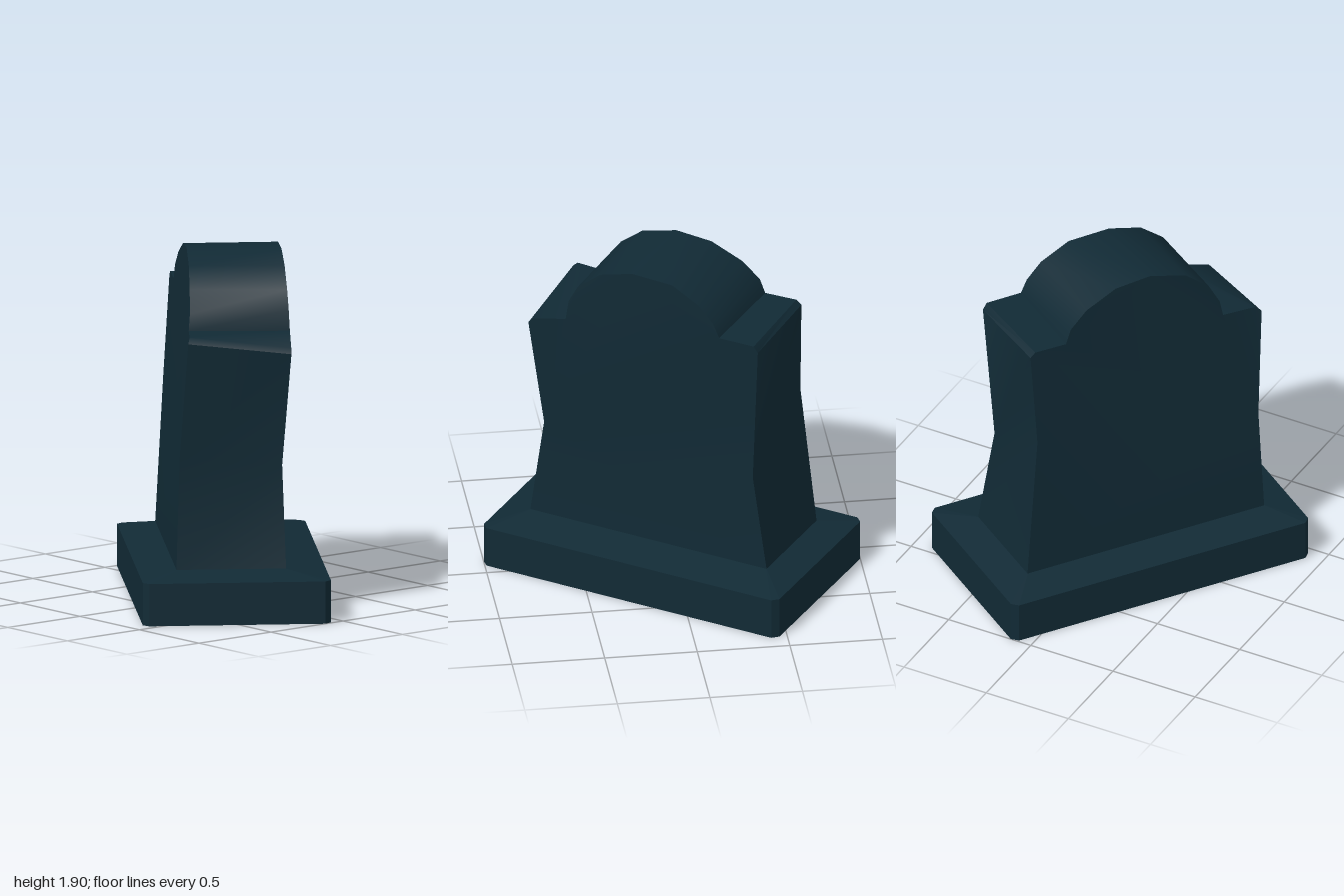
import * as THREE from 'three';
import { toCreasedNormals } from 'three/addons/utils/BufferGeometryUtils.js';

// outline of the slab, left foot over the arch to right foot: [x, y, z]
const FRONT = [
  [-0.709, 0.27, 0.312], [-0.631, 1.08, 0.275], [-0.655, 1.62, 0.24], [-0.626, 1.645, 0.238],
  [-0.44, 1.64, 0.235], [-0.41, 1.72, 0.23], [-0.31, 1.81, 0.22], [-0.13, 1.89, 0.21],
  [0.08, 1.905, 0.207], [0.288, 1.845, 0.212], [0.42, 1.74, 0.218], [0.485, 1.62, 0.222],
  [0.502, 1.53, 0.23], [0.69, 1.53, 0.24], [0.722, 1.5, 0.25], [0.681, 0.87, 0.293], [0.706, 0.27, 0.312],
];
const BACK = [
  [-0.71, 0.27, -0.276], [-0.62, 0.8, -0.261], [-0.67, 1.6, -0.3], [-0.646, 1.635, -0.303],
  [-0.44, 1.635, -0.305], [-0.405, 1.71, -0.305], [-0.32, 1.8, -0.305], [-0.157, 1.885, -0.303],
  [0.085, 1.892, -0.302], [0.275, 1.838, -0.303], [0.41, 1.73, -0.306], [0.463, 1.63, -0.31],
  [0.478, 1.52, -0.315], [0.683, 1.465, -0.306], [0.707, 1.435, -0.305], [0.635, 0.82, -0.261], [0.71, 0.27, -0.276],
];

function fromTriangles(points, index) {
  const g = new THREE.BufferGeometry();
  g.setAttribute('position', new THREE.Float32BufferAttribute(points.flat(), 3));
  g.setIndex(index);
  return g;
}

// slab: two faces joined by a rim
function slabGeometry() {
  const n = FRONT.length;
  const index = [];
  const face = (a, b, c) => index.push(a, b, c, a + n, c + n, b + n);
  face(0, n - 1, n - 2);
  face(0, n - 2, 1);
  const ids = [];
  for (let i = n - 2; i >= 1; i--) ids.push(i);
  const contour = ids.map((i) => new THREE.Vector2(FRONT[i][0], FRONT[i][1]));
  for (const t of THREE.ShapeUtils.triangulateShape(contour, [])) {
    face(ids[t[0]], ids[t[1]], ids[t[2]]);
  }
  for (let i = 0; i < n; i++) {
    const j = (i + 1) % n;
    index.push(i, j, i + n, j, j + n, i + n);
  }
  return toCreasedNormals(fromTriangles([...FRONT, ...BACK], index), 0.72);
}

// rectangle with cut corners, counter-clockwise seen from above
function ring(hx, hz, cut, y, dz = 0) {
  return [
    [hx, hz - cut], [hx, -hz + cut], [hx - cut, -hz], [-hx + cut, -hz],
    [-hx, -hz + cut], [-hx, hz - cut], [-hx + cut, hz], [hx - cut, hz],
  ].map(([x, z]) => [x, y, z + dz]);
}

// plinth: upright sides, then a shallow slope up to the slab
function plinthGeometry() {
  const rings = [ring(0.889, 0.505, 0.033, 0), ring(0.889, 0.505, 0.033, 0.23), ring(0.709, 0.294, 0.002, 0.27, 0.018)];
  const index = [];
  for (let r = 0; r < 2; r++) {
    for (let i = 0; i < 8; i++) {
      const a = r * 8 + i, b = r * 8 + (i + 1) % 8;
      index.push(a, b, b + 8, a, b + 8, a + 8);
    }
  }
  for (let i = 1; i < 7; i++) index.push(0, i + 1, i, 16, 16 + i, 17 + i);
  return toCreasedNormals(fromTriangles(rings.flat(), index), 0.1);
}

export function createModel() {
  const stone = new THREE.MeshStandardMaterial({ color: 0x112a35 });
  stone.name = 'dark slate';

  const gravestone = new THREE.Group();
  gravestone.name = 'gravestone';
  const parts = { slab: slabGeometry(), plinth: plinthGeometry() };
  for (const [name, geometry] of Object.entries(parts)) {
    const mesh = new THREE.Mesh(geometry, stone);
    mesh.name = name;
    gravestone.add(mesh);
  }
  // the stone stands turned on its spot
  gravestone.rotation.y = -0.61;

  const model = new THREE.Group();
  model.name = 'model';
  model.add(gravestone);
  return model;
}
